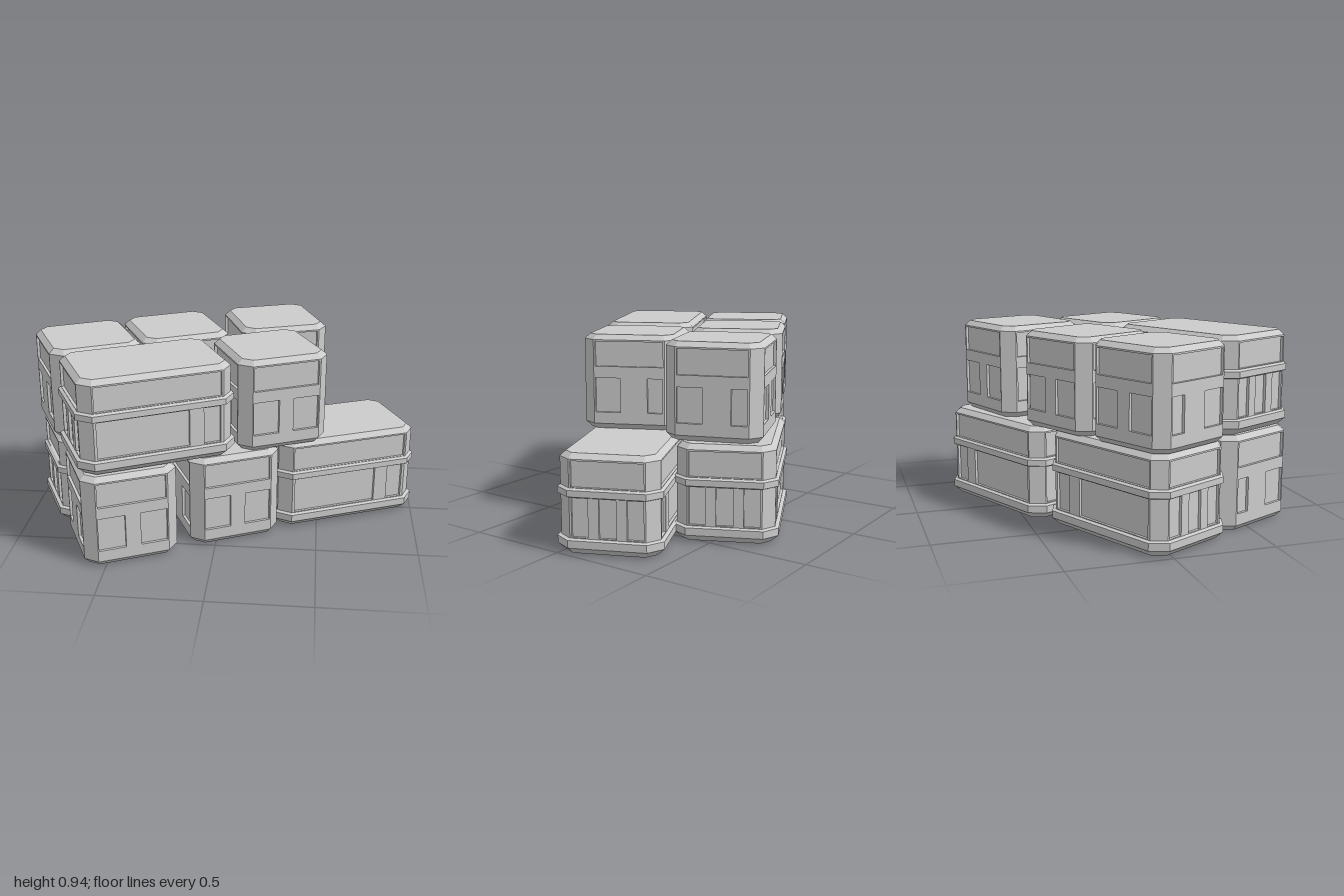
import * as THREE from 'three';

const CHAMFER = 0.057, DEPTH = 0.014, WIDTH = 0.465, HEIGHT = 0.466;
const material = new THREE.MeshStandardMaterial({ color: 0xcccccc, flatShading: true });

function addMesh(parent, geometry, name) {
  const mesh = new THREE.Mesh(geometry, material);
  mesh.name = name;
  parent.add(mesh);
  return mesh;
}

// Chamfered rectangle with half sizes a, b, grown by off; counter-clockwise from above
function octagon(a, b, off) {
  const c = CHAMFER + 0.586 * off;
  a += off;
  b += off;
  return [[a, -(b - c)], [a, b - c], [a - c, b], [c - a, b], [-a, b - c], [-a, c - b], [c - a, -b], [a - c, -b]];
}

// Closed solid through octagons; levels are [height, offset]
function loft(a, b, levels) {
  const pos = [], index = [], n = 8;
  for (const [y, off] of levels) for (const [x, d] of octagon(a, b, off)) pos.push(x, y, -d);
  for (let k = 0; k < levels.length - 1; k++) {
    for (let i = 0; i < n; i++) {
      const p = k * n + i, q = k * n + (i + 1) % n;
      index.push(p, q, q + n, p, q + n, p + n);
    }
  }
  const top = (levels.length - 1) * n;
  for (let i = 1; i < n - 1; i++) index.push(0, i + 1, i, top, top + i, top + i + 1);
  const g = new THREE.BufferGeometry();
  g.setAttribute('position', new THREE.Float32BufferAttribute(pos, 3));
  g.setIndex(index);
  const flat = g.toNonIndexed();
  flat.computeVertexNormals();
  return flat;
}

function rectangle(Type, x0, x1, y0, y1) {
  const r = new Type();
  r.moveTo(x0, y0).lineTo(x1, y0).lineTo(x1, y1).lineTo(x0, y1).closePath();
  return r;
}

// Wall plate with rectangular openings; its outer face lies at z = 0
function wall(half, openings) {
  const shape = rectangle(THREE.Shape, -half, half, 0.03, 0.44);
  for (const o of openings) shape.holes.push(rectangle(THREE.Path, ...o));
  const g = new THREE.ExtrudeGeometry(shape, { depth: DEPTH, bevelEnabled: false });
  return g.translate(0, 0, -DEPTH);
}

function createCrate(name, long) {
  const crate = new THREE.Group();
  crate.name = name;
  const a = long ? 0.3725 : WIDTH / 2, b = WIDTH / 2, d = DEPTH;

  addMesh(crate, loft(a, b, [[0.02, -d], [0.45, -d]]), 'core');
  addMesh(crate, loft(a, b, [[0.438, 0], [0.442, 0], [HEIGHT, -0.026]]), 'lid');
  if (long) {
    addMesh(crate, loft(a, b, [[0, -0.02], [0.03, 0.012], [0.034, 0.017], [0.07, 0.017], [0.076, 0]]), 'base');
    addMesh(crate, loft(a, b, [[0.266, 0], [0.272, 0.014], [0.302, 0.014], [0.31, 0]]), 'belt');
  } else {
    addMesh(crate, loft(a, b, [[0, -0.026], [0.028, 0], [0.032, 0]]), 'base');
  }

  // Corner posts
  for (const sx of [-1, 1]) for (const sz of [-1, 1]) {
    const pts = [[a, b - CHAMFER], [a - CHAMFER, b], [a - CHAMFER, b - 2 * d], [a - 2 * d, b - CHAMFER]];
    const shape = new THREE.Shape(pts.map(([x, z]) => new THREE.Vector2(sx * x, sz * z)));
    const g = new THREE.ExtrudeGeometry(shape, { depth: 0.41, bevelEnabled: false });
    addMesh(crate, g.rotateX(-Math.PI / 2).translate(0, 0.03, 0), 'cornerPost');
  }

  // Opening spans along x on front and back, along z on the ends
  const sideSpans = long ? [[-0.302, 0.145], [0.217, 0.302]] : [[-0.17, -0.037], [0.038, 0.17]];
  const endSpans = long ? [[-0.166, -0.09], [-0.04, 0.04], [0.09, 0.166]] : [[-0.166, -0.09], [0.045, 0.168]];
  const [low, high] = long ? [0.08, 0.264] : [0.085, 0.255];
  for (let k = 0; k < 4; k++) {
    const isEnd = k % 2 === 1;
    const half = (isEnd ? b : a) - CHAMFER;
    // Both opposite walls share the same layout, so the turned ones are flipped
    const flip = k === 1 || k === 2 ? -1 : 1;
    const openings = (isEnd ? endSpans : sideSpans).map(([p, q]) => {
      const s = [p * flip, q * flip].sort((m, n) => m - n);
      return [s[0], s[1], low, high];
    });
    openings.push([-half + 0.008, half - 0.008, 0.312, 0.434]);
    const mesh = addMesh(crate, wall(half, openings), isEnd ? 'endWall' : 'sideWall');
    mesh.rotation.y = k * Math.PI / 2;
    mesh.position.set(k === 1 ? a : k === 3 ? -a : 0, 0, k === 0 ? b : k === 2 ? -b : 0);
  }
  return crate;
}

export function createModel() {
  const model = new THREE.Group();
  model.name = 'crateStack';
  // name, long, x, y, z, turn in degrees
  const layout = [
    ['lowerFrontLeftLongCrate', true, 0.57, 0, -0.075, 23.5],
    ['lowerBackLeftLongCrate', true, 0.125, 0, -0.398, 25],
    ['lowerBackRightLongCrate', true, -0.565, 0, -0.026, 26],
    ['lowerFrontRightCrate', false, -0.47, 0, 0.474, 25],
    ['lowerFrontMiddleCrate', false, 0.01, 0, 0.22, 25],
    ['upperFrontLongCrate', true, -0.346, 0.473, 0.392, 26.5],
    ['upperFrontCrate', false, 0.235, 0.467, 0.105, 25],
    ['upperBackRightCrate', false, -0.707, 0.467, 0.033, 26.5],
    ['upperBackMiddleCrate', false, -0.28, 0.467, -0.185, 26],
    ['upperBackLeftCrate', false, 0.235, 0.467, -0.397, 20],
  ];
  for (const [name, long, x, y, z, turn] of layout) {
    const crate = createCrate(name, long);
    crate.position.set(x, y, z);
    crate.rotation.y = THREE.MathUtils.degToRad(turn);
    model.add(crate);
  }
  return model;
}
